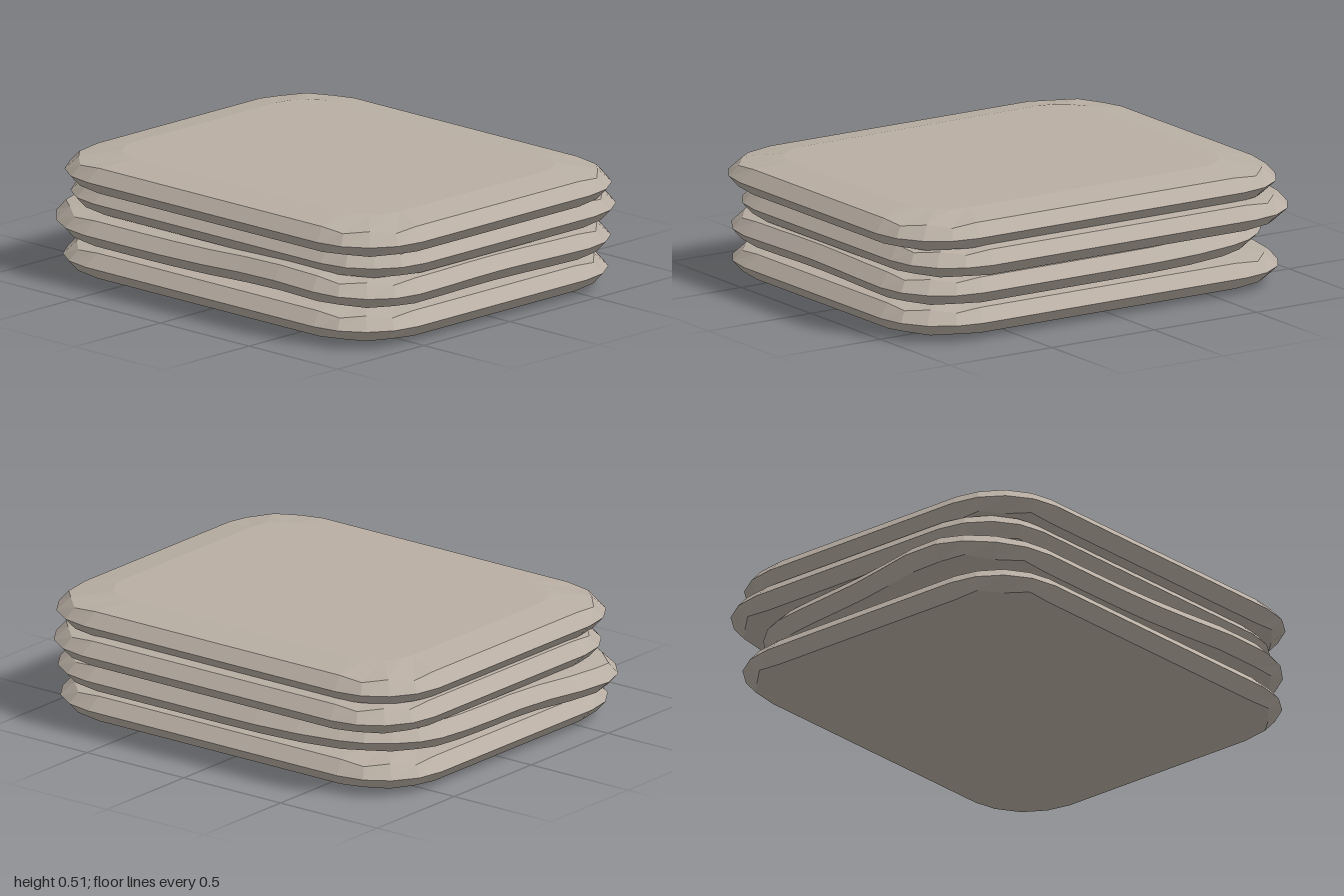
import * as THREE from 'three';

// One closed loop around a rounded rectangle; corner points carry an odd/even flag
function outline(hx, hz, r) {
  const pts = [], corners = [[1, 1], [-1, 1], [-1, -1], [1, -1]];
  corners.forEach(([sx, sz], q) => {
    for (let k = 0; k <= 4; k++) {
      const a = (q + k / 4) * Math.PI / 2;
      pts.push({ x: sx * (hx - r) + r * Math.cos(a), z: sz * (hz - r) + r * Math.sin(a), odd: k % 2 === 1 });
    }
    // subdivide the straight side leading to the next corner
    const [nx, nz] = corners[(q + 1) % 4], a = (q + 1) * Math.PI / 2;
    const s = pts[pts.length - 1];
    const ex = nx * (hx - r) + r * Math.cos(a), ez = nz * (hz - r) + r * Math.sin(a);
    for (let k = 1; k < 6; k++) {
      pts.push({ x: s.x + (ex - s.x) * k / 6, z: s.z + (ez - s.z) * k / 6, odd: false });
    }
  });
  return pts;
}

// Soft slab: loops of [inset, height, corner radius] from bottom to top
const PROFILE = [
  [0.2, -0.078, 0.18], [0.05, -0.053, 0.27], [0, 0, 0.3], [0.05, 0.053, 0.27], [0.2, 0.075, 0.18],
];

function slab({ x: [x0, x1], z: [z0, z1], y }, warp) {
  const cx = (x0 + x1) / 2, cz = (z0 + z1) / 2, hx = (x1 - x0) / 2, hz = (z1 - z0) / 2;
  const pos = [], idx = [];
  const add = (px, py, pz) => {
    const v = new THREE.Vector3(cx + px, y + py, cz + pz);
    if (warp) warp(v);
    pos.push(v.x, v.y, v.z);
  };
  let n = 0;
  PROFILE.forEach(([inset, h, r], ring) => {
    const loop = outline(hx - inset, hz - inset, r);
    const rim = outline(hx, hz, 0.3);
    n = loop.length;
    loop.forEach((p, j) => {
      // slight puckers in the crease at the corners
      const t = p.odd && (ring === 1 || ring === 3) ? 0.3 : 0;
      add(p.x + (rim[j].x - p.x) * t, h * (1 - t * 0.6), p.z + (rim[j].z - p.z) * t);
    });
  });
  for (let i = 0; i < PROFILE.length - 1; i++) {
    for (let j = 0; j < n; j++) {
      const a = i * n + j, b = i * n + (j + 1) % n;
      idx.push(a, a + n, b, b, a + n, b + n);
    }
  }
  // flat caps
  const base = PROFILE.length * n, topRing = base - n;
  add(0, PROFILE[0][1], 0);
  add(0, PROFILE[4][1], 0);
  for (let j = 0; j < n; j++) {
    const k = (j + 1) % n;
    idx.push(base, j, k, base + 1, topRing + k, topRing + j);
  }
  const g = new THREE.BufferGeometry();
  g.setAttribute('position', new THREE.Float32BufferAttribute(pos, 3));
  g.setIndex(idx);
  const flat = g.toNonIndexed();
  flat.computeVertexNormals();
  return flat;
}

// Falloff around a point on the slab
const near = (v, x, z, s) => Math.exp(-((v.x - x) ** 2 + (v.z - z) ** 2) / (s * s));

// The third layer down is crumpled: corners pushed out, tucked in and lifted
function crumple(v) {
  const pull = near(v, -0.95, 0.45, 0.3), bulge = near(v, 0.6, 0.8, 0.25);
  const tuck = near(v, -0.8, -0.7, 0.35);
  const lift = near(v, 0.5, 0.8, 0.4), arch = near(v, 0.95, 0.05, 0.35), side = near(v, -0.9, 0.15, 0.3);
  v.x += -0.085 * pull + 0.06 * tuck;
  v.z += 0.02 * bulge + 0.08 * tuck;
  v.y += 0.025 * lift + 0.012 * arch + 0.012 * side + 0.008 * pull;
}

export function createModel() {
  const group = new THREE.Group();
  group.name = 'slabStack';
  const cloth = new THREE.MeshStandardMaterial({ color: 0xb8aea3 });
  cloth.name = 'warmGrey';

  const layers = [
    { name: 'bottomLayer', x: [-0.91, 0.98], z: [-0.77, 0.81], y: 0.082 },
    { name: 'crumpledLayer', x: [-0.92, 0.985], z: [-0.78, 0.805], y: 0.212, warp: crumple },
    { name: 'upperLayer', x: [-0.92, 0.97], z: [-0.825, 0.755], y: 0.335 },
    { name: 'topLayer', x: [-0.9, 1.0], z: [-0.77, 0.81], y: 0.44 },
  ];
  for (const layer of layers) {
    const mesh = new THREE.Mesh(slab(layer, layer.warp), cloth);
    mesh.name = layer.name;
    group.add(mesh);
  }
  return group;
}
